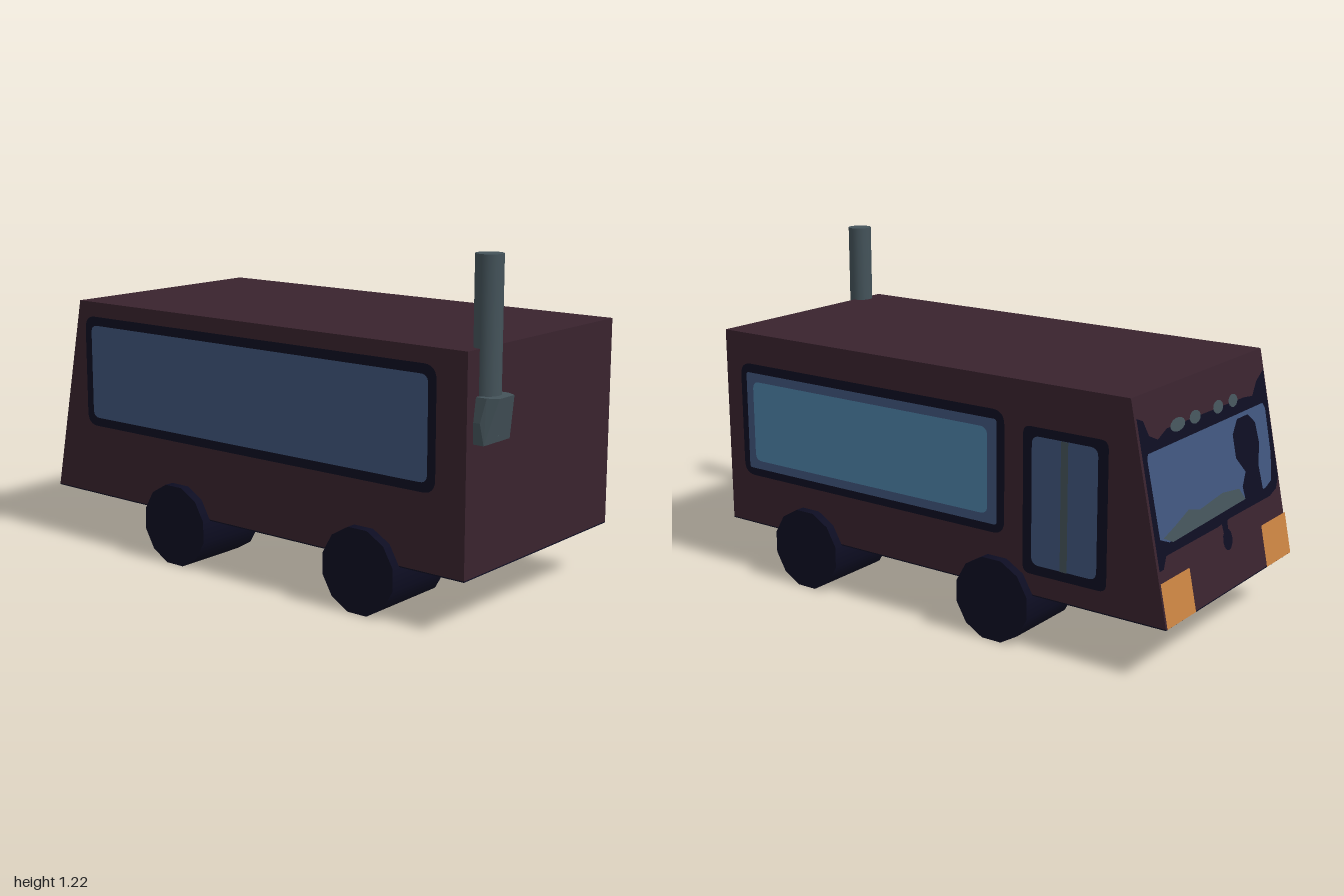
import * as THREE from 'three';
import { ConvexGeometry } from 'three/addons/geometries/ConvexGeometry.js';

const material = (name, color) => {
  const m = new THREE.MeshStandardMaterial({ color });
  m.name = name;
  return m;
};

export function createModel() {
  const paint = material('maroon paint', 0x39232e);
  const dark = material('dark trim', 0x0d0d22);
  const glass = material('blue glass', 0x3f557c);
  const pale = material('pale glass', 0x4c83a8);
  const metal = material('grey metal', 0x44535a);
  const amber = material('amber lamp', 0xc98342);

  const bus = new THREE.Group();
  bus.name = 'bus';
  const add = (parent, name, geometry, mat) => {
    const mesh = new THREE.Mesh(geometry, mat);
    mesh.name = name;
    parent.add(mesh);
    return mesh;
  };
  const panel = (name) => {
    const group = new THREE.Group();
    group.name = name;
    bus.add(group);
    return group;
  };
  const LAYER = 0.003;
  const plate = (parent, name, shape, mat, layer) => {
    add(parent, name, new THREE.ShapeGeometry(shape, 6), mat).position.z = layer * LAYER;
  };

  // Rounded rectangle between two corners
  const rounded = (x0, y0, x1, y1, r) => {
    const s = new THREE.Shape();
    s.moveTo(x0 + r, y0);
    s.lineTo(x1 - r, y0);
    s.quadraticCurveTo(x1, y0, x1, y0 + r);
    s.lineTo(x1, y1 - r);
    s.quadraticCurveTo(x1, y1, x1 - r, y1);
    s.lineTo(x0 + r, y1);
    s.quadraticCurveTo(x0, y1, x0, y1 - r);
    s.lineTo(x0, y0 + r);
    s.quadraticCurveTo(x0, y0, x0 + r, y0);
    return s;
  };

  // Body: side profile with a sloping cab, extruded across the width
  const HALF = 0.445;
  const profile = new THREE.Shape([[-0.925, 0.19], [1, 0.19], [0.85, 0.93], [-0.925, 0.93]]
    .map(([x, y]) => new THREE.Vector2(x, y)));
  const bodyGeometry = new THREE.ExtrudeGeometry(profile, { depth: HALF * 2, bevelEnabled: false });
  bodyGeometry.translate(0, 0, -HALF).rotateY(Math.PI / 2);
  add(bus, 'body', bodyGeometry, paint);
  add(bus, 'underside', new THREE.BoxGeometry(HALF * 2, 0.004, 1.925), dark).position.set(0, 0.188, -0.0375);

  // Side with long window and door; local x runs towards the cab
  const doorSide = panel('doorSide');
  doorSide.rotation.y = Math.PI / 2;
  doorSide.position.x = HALF;
  plate(doorSide, 'windowFrame', rounded(-0.85, 0.38, 0.367, 0.815, 0.05), dark, 1);
  plate(doorSide, 'windowBorder', rounded(-0.82, 0.41, 0.337, 0.782, 0.012), glass, 2);
  plate(doorSide, 'windowPane', rounded(-0.785, 0.443, 0.3, 0.75, 0.03), pale, 3);
  plate(doorSide, 'doorFrame', rounded(0.443, 0.265, 0.775, 0.78, 0.03), dark, 1);
  plate(doorSide, 'doorGlass', rounded(0.48, 0.3, 0.738, 0.75, 0.03), glass, 2);
  plate(doorSide, 'doorBar', rounded(0.597, 0.3, 0.625, 0.75, 0.002), metal, 3);

  // Opposite side with one full-length window; local x runs towards the back
  const plainSide = panel('plainSide');
  plainSide.rotation.y = -Math.PI / 2;
  plainSide.position.x = -HALF;
  plate(plainSide, 'windowFrame', rounded(-0.82, 0.455, 0.81, 0.875, 0.05), dark, 1);
  plate(plainSide, 'windowPane', rounded(-0.785, 0.488, 0.78, 0.842, 0.03), glass, 2);

  // Sloping windscreen panel: u runs across, v runs down from the roof edge
  const slope = Math.hypot(0.74, 0.15);
  const screen = panel('windscreenPanel');
  const acrossAxis = new THREE.Vector3(-1, 0, 0);
  const upAxis = new THREE.Vector3(0, 0.74, 0.15).normalize();
  screen.setRotationFromMatrix(new THREE.Matrix4().makeBasis(
    acrossAxis, upAxis, acrossAxis.clone().cross(upAxis)));
  screen.position.set(0, 0.93, -0.85);
  const place = (u, v) => new THREE.Vector2((u - 0.5) * 2 * HALF, -v * slope);
  const outline = (points) => new THREE.Shape(points.map(([u, v]) => place(u, v)));
  const blob = (u, v, ru, rv) => {
    const c = place(u, v);
    return new THREE.Shape().absellipse(c.x, c.y, ru * 2 * HALF, rv * slope, 0, Math.PI * 2);
  };

  plate(screen, 'windscreenFrame', outline([
    [0.01, 0.09], [0.05, 0.11], [0.075, 0.18], [0.13, 0.21], [0.2, 0.18], [0.8, 0.19],
    [0.87, 0.2], [0.92, 0.14], [0.99, 0.1], [0.99, 0.62], [0.96, 0.67], [0.9, 0.69],
    [0.7, 0.69], [0.56, 0.69], [0.46, 0.7], [0.07, 0.7], [0.04, 0.75], [0.01, 0.75]]), dark, 1);
  plate(screen, 'windscreenGlass', outline([
    [0.045, 0.25], [0.94, 0.25], [0.955, 0.28], [0.95, 0.5], [0.92, 0.62], [0.87, 0.64],
    [0.72, 0.64], [0.1, 0.65], [0.04, 0.62], [0.035, 0.27]]), glass, 2);
  plate(screen, 'dashboard', outline([
    [0.06, 0.62], [0.16, 0.59], [0.26, 0.555], [0.34, 0.58], [0.52, 0.56], [0.65, 0.58],
    [0.69, 0.64], [0.5, 0.645], [0.12, 0.655]]), metal, 3);
  plate(screen, 'driver', outline([
    [0.71, 0.27], [0.8, 0.27], [0.85, 0.32], [0.86, 0.42], [0.83, 0.52], [0.84, 0.65],
    [0.69, 0.65], [0.68, 0.58], [0.72, 0.52], [0.66, 0.44], [0.66, 0.33]]), dark, 3);
  [[0.27, 0.055], [0.4, 0.042], [0.58, 0.04], [0.7, 0.036]].forEach(([u, r]) => {
    plate(screen, 'roofLight', blob(u, 0.18, r, 0.03), metal, 3);
  });
  plate(screen, 'badgeStem', outline([[0.49, 0.68], [0.54, 0.68], [0.53, 0.76], [0.5, 0.76]]), dark, 1);
  plate(screen, 'badge', blob(0.515, 0.775, 0.036, 0.05), dark, 2);
  for (const u of [0, 0.79]) {
    plate(screen, 'headlamp', outline([[u, 0.8], [u + 0.21, 0.8], [u + 0.21, 1], [u, 1]]), amber, 2);
  }

  // Wheels: wide twelve-sided drums
  const wheelGeometry = new THREE.CylinderGeometry(0.153, 0.153, 0.295, 12);
  wheelGeometry.rotateY(Math.PI / 12).rotateZ(Math.PI / 2);
  for (const side of [-1, 1]) {
    for (const z of [0.52, -0.335]) {
      add(bus, 'wheel', wheelGeometry, dark).position.set(side * 0.3325, 0.148, z);
    }
  }

  // Upright exhaust pipe and its flared housing
  const exhaust = panel('exhaust');
  exhaust.position.x = -0.335;
  add(exhaust, 'exhaustPipe', new THREE.CylinderGeometry(0.046, 0.046, 0.575, 12), metal)
    .position.set(0, 0.9375, 0.925);
  const corners = [];
  for (const s of [-1, 1]) {
    [[0.042, 0.78, 1], [0.062, 0.78, 0.965], [0.062, 0.78, 0.92], [0.075, 0.7, 0.95],
      [0.075, 0.7, 0.92], [0.074, 0.63, 0.965], [0.074, 0.63, 0.92]]
      .forEach(([x, y, z]) => corners.push(new THREE.Vector3(s * x, y, z)));
  }
  add(exhaust, 'exhaustHousing', new ConvexGeometry(corners), metal);

  return bus;
}
